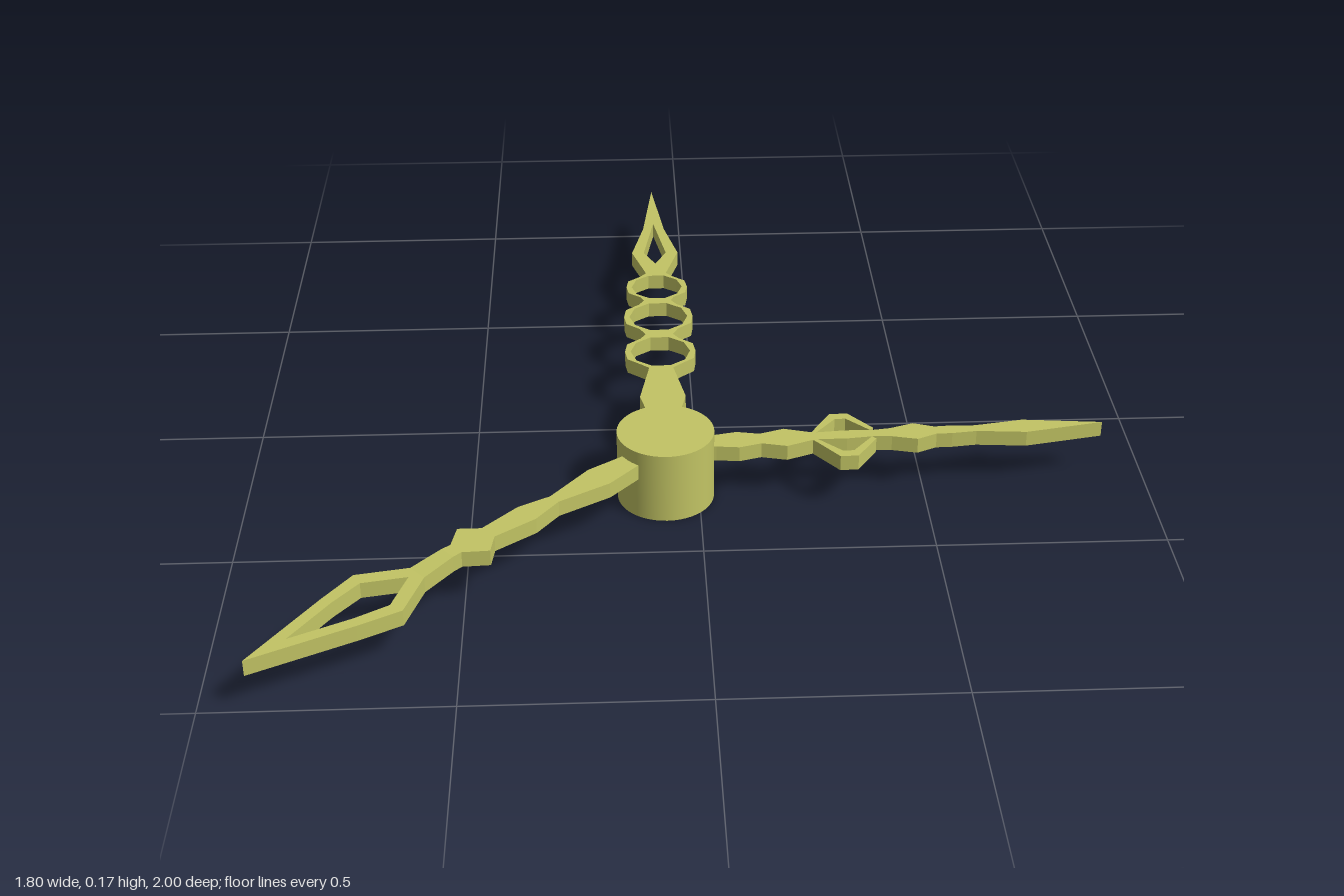
import * as THREE from 'three';

const HUB = new THREE.Vector2(-0.074, 0.275);
const TOP = 0.133, THICK = 0.036;
const material = new THREE.MeshStandardMaterial({ color: 0xc2c464, flatShading: true });
const hubMaterial = new THREE.MeshStandardMaterial({ color: 0xc2c464 });

// Mirrors a [distance, half-width] profile into a closed counter-clockwise outline
const mirror = (half) => [
  ...half.map(([s, w]) => [s, -w]),
  ...half.filter(([, w]) => w > 0).reverse(),
];

// Extrudes a flat outline lying along a ray from the hub, at the given angle
function plate(name, angle, outline, holes = []) {
  const place = (pts) => pts.map(([s, w]) =>
    new THREE.Vector2(s, w).rotateAround(new THREE.Vector2(), angle).add(HUB));
  const shape = new THREE.Shape(place(outline));
  shape.holes = holes.map((h) => new THREE.Path(place([...h].reverse())));
  const geometry = new THREE.ExtrudeGeometry(shape, { depth: THICK, bevelEnabled: false });
  geometry.rotateX(Math.PI / 2).translate(0, TOP, 0);
  const mesh = new THREE.Mesh(geometry, material);
  mesh.name = name;
  return mesh;
}

function createHub() {
  const hub = new THREE.Mesh(new THREE.CylinderGeometry(0.107, 0.107, 0.165, 48), hubMaterial);
  hub.position.set(HUB.x, 0.0825, HUB.y);
  hub.name = 'hub';
  return hub;
}

// Long hand with three rings and a pierced spear tip
function createRingHand() {
  const rings = [[0.407, 0.07], [0.577, 0.07], [0.73, 0.062]];
  const half = [[0.03, 0.02], [0.1, 0.03], [0.2, 0.052], [0.33, 0.028]];
  const holes = [];
  for (const [c, r] of rings) {
    half.push([c - 0.88 * r, 0.65 * r], [c - 0.5 * r, r + 0.008],
      [c, r + 0.013], [c + 0.5 * r, r + 0.008], [c + 0.88 * r, 0.65 * r]);
    if (c < 0.7) half.push([c + r + 0.012, 0.033]);
    holes.push(Array.from({ length: 10 }, (_, i) => {
      const a = ((i + 0.5) / 10) * Math.PI * 2;
      return [c + r * Math.cos(a), r * Math.sin(a)];
    }));
  }
  half.push([0.803, 0.025], [0.915, 0.058], [1.05, 0.027], [1.275, 0]);
  holes.push(mirror([[0.855, 0], [0.915, 0.028], [1.08, 0]]));
  return plate('ringHand', -Math.PI / 2, mirror(half), holes);
}

// Slim hand with a pair of open side loops
function createSlimHand() {
  const angle = -0.049;
  const group = new THREE.Group();
  group.name = 'slimHand';
  group.add(plate('slimBlade', angle, mirror([
    [0.05, 0.02], [0.11, 0.024], [0.16, 0.032], [0.21, 0.02], [0.265, 0.036],
    [0.33, 0.014], [0.4, 0.017], [0.46, 0.013], [0.5, 0.017], [0.555, 0.033],
    [0.6, 0.015], [0.635, 0.016], [0.69, 0.012], [0.8, 0.026], [0.976, 0],
  ])));
  const loop = [[0.322, 0.012], [0.332, 0.01], [0.384, 0.066], [0.408, 0.066],
    [0.455, 0.014], [0.464, 0.022], [0.415, 0.088], [0.375, 0.088]];
  for (const side of [1, -1]) {
    group.add(plate(side > 0 ? 'frontLoop' : 'backLoop', angle, loop.map(([s, w]) => [s, w * side])));
  }
  return group;
}

// Diagonal hand: shaft with a diamond, a short step down, and an open arrowhead
function createArrowHand() {
  const angle = Math.atan2(136, -155);
  const bendStart = 0.605, bendEnd = 0.682, drop = 0.011;
  const shaft = plate('arrowShaft', angle, mirror([
    [0.04, 0.02], [0.1, 0.025], [0.195, 0.036], [0.32, 0.014], [0.395, 0.03],
    [0.499, 0.021], [0.537, 0.054], [0.583, 0.018], [bendStart, 0.019],
  ]));
  const step = plate('arrowStep', angle, mirror([[bendStart, 0.019], [bendEnd, 0.023]]));
  const head = plate('arrowHead', angle, mirror([
    [bendEnd, 0.023], [0.78, 0.082], [0.875, 0.06], [1.097, 0],
  ]), [mirror([[0.704, 0], [0.787, 0.05], [0.865, 0.036], [0.998, 0]])]);
  head.position.y = -drop;

  // Lower the far end of the step to meet the arrowhead
  const p = step.geometry.attributes.position;
  for (let i = 0; i < p.count; i++) {
    const s = Math.hypot(p.getX(i) - HUB.x, p.getZ(i) - HUB.y);
    if (s > (bendStart + bendEnd) / 2) p.setY(i, p.getY(i) - drop);
  }
  step.geometry.computeVertexNormals();

  const group = new THREE.Group();
  group.name = 'arrowHand';
  group.add(shaft, step, head);
  return group;
}

export function createModel() {
  const model = new THREE.Group();
  model.name = 'clockHands';
  model.add(createHub(), createRingHand(), createSlimHand(), createArrowHand());
  return model;
}
